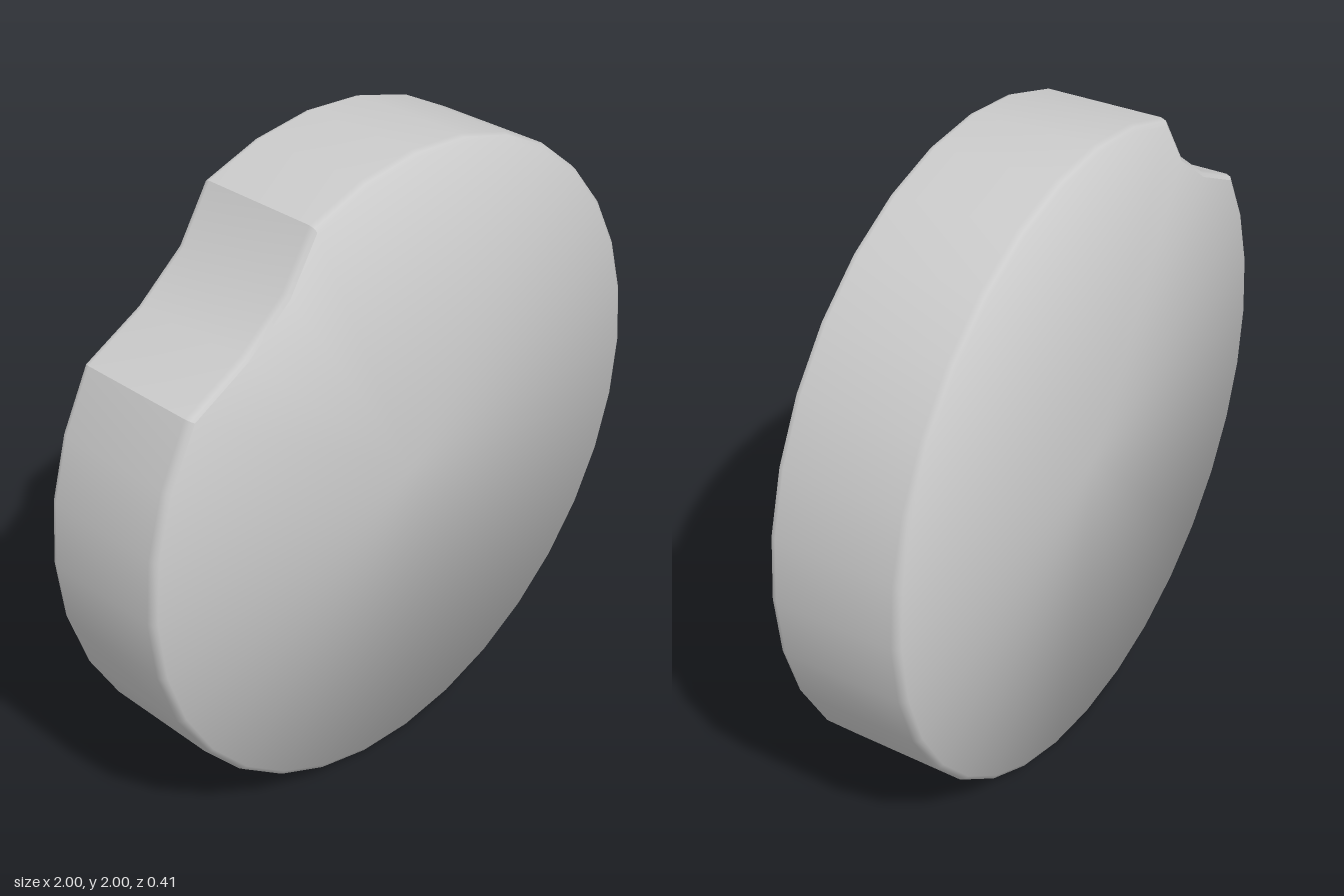
import * as THREE from 'three';

const CENTRE_Y = 1;
// rounded edge, front to back: [scale of outline, z, tilt of the normal away from z in degrees]
const HALF_EDGE = [[0.982, 0.205, 38], [0.994, 0.199, 65], [1, 0.183, 88]];
const EDGE = [...HALF_EDGE, ...HALF_EDGE.map(([s, z, t]) => [s, -z, 180 - t]).reverse()];

// outward normals of an open counterclockwise run of points
function runNormals(points) {
  return points.map((p, i) => {
    const a = points[Math.max(i - 1, 0)];
    const b = points[Math.min(i + 1, points.length - 1)];
    return new THREE.Vector2(b.y - a.y, a.x - b.x).normalize();
  });
}

function makeGeometry(positions, normals, indices) {
  const g = new THREE.BufferGeometry();
  g.setAttribute('position', new THREE.Float32BufferAttribute(positions, 3));
  g.setAttribute('normal', new THREE.Float32BufferAttribute(normals, 3));
  g.setIndex(indices);
  return g;
}

function pushVertex(pos, nor, p, n, [scale, z, tilt]) {
  const a = THREE.MathUtils.degToRad(tilt);
  pos.push(p.x * scale, CENTRE_Y + p.y * scale, z);
  nor.push(n.x * Math.sin(a), n.y * Math.sin(a), Math.cos(a));
}

// side wall with softened edges along one run of the outline
function wallGeometry(points) {
  const pos = [], nor = [], idx = [];
  const normals = runNormals(points);
  const rows = EDGE.length;
  points.forEach((p, i) => {
    EDGE.forEach((row) => pushVertex(pos, nor, p, normals[i], row));
    if (i === 0) return;
    for (let j = 0; j < rows - 1; j++) {
      const a = (i - 1) * rows + j, b = i * rows + j;
      idx.push(a, a + 1, b, b, a + 1, b + 1);
    }
  });
  return makeGeometry(pos, nor, idx);
}

// flat disc face whose normals lean outward to blend into the edge
function faceGeometry(outline, row, sign) {
  const pos = [0, CENTRE_Y, row[1]], nor = [0, 0, sign], idx = [];
  const count = outline.length;
  outline.forEach((p, i) => {
    pushVertex(pos, nor, p, p.clone().normalize(), row);
    const a = i + 1, b = ((i + 1) % count) + 1;
    if (sign > 0) idx.push(0, a, b);
    else idx.push(0, b, a);
  });
  return makeGeometry(pos, nor, idx);
}

export function createModel() {
  const group = new THREE.Group();
  group.name = 'bittenDisc';
  const material = new THREE.MeshStandardMaterial({ color: 0xcccccc });
  const add = (name, geometry) => {
    const mesh = new THREE.Mesh(geometry, material);
    mesh.name = name;
    group.add(mesh);
  };

  // 32-sided rim, leaving out the sides between steps 10 and 13 for the bite
  const rim = [];
  for (let i = 13; i <= 42; i++) {
    const a = (i * Math.PI) / 16;
    rim.push(new THREE.Vector2(Math.cos(a), Math.sin(a)));
  }
  const bite = [
    rim[rim.length - 1],
    new THREE.Vector2(-0.485, 0.77),
    new THREE.Vector2(-0.64, 0.65),
    rim[0],
  ];
  const outline = [...rim, bite[1], bite[2]];

  add('rimWall', wallGeometry(rim));
  add('biteWall', wallGeometry(bite));
  add('frontFace', faceGeometry(outline, EDGE[0], 1));
  add('backFace', faceGeometry(outline, EDGE[EDGE.length - 1], -1));
  return group;
}
